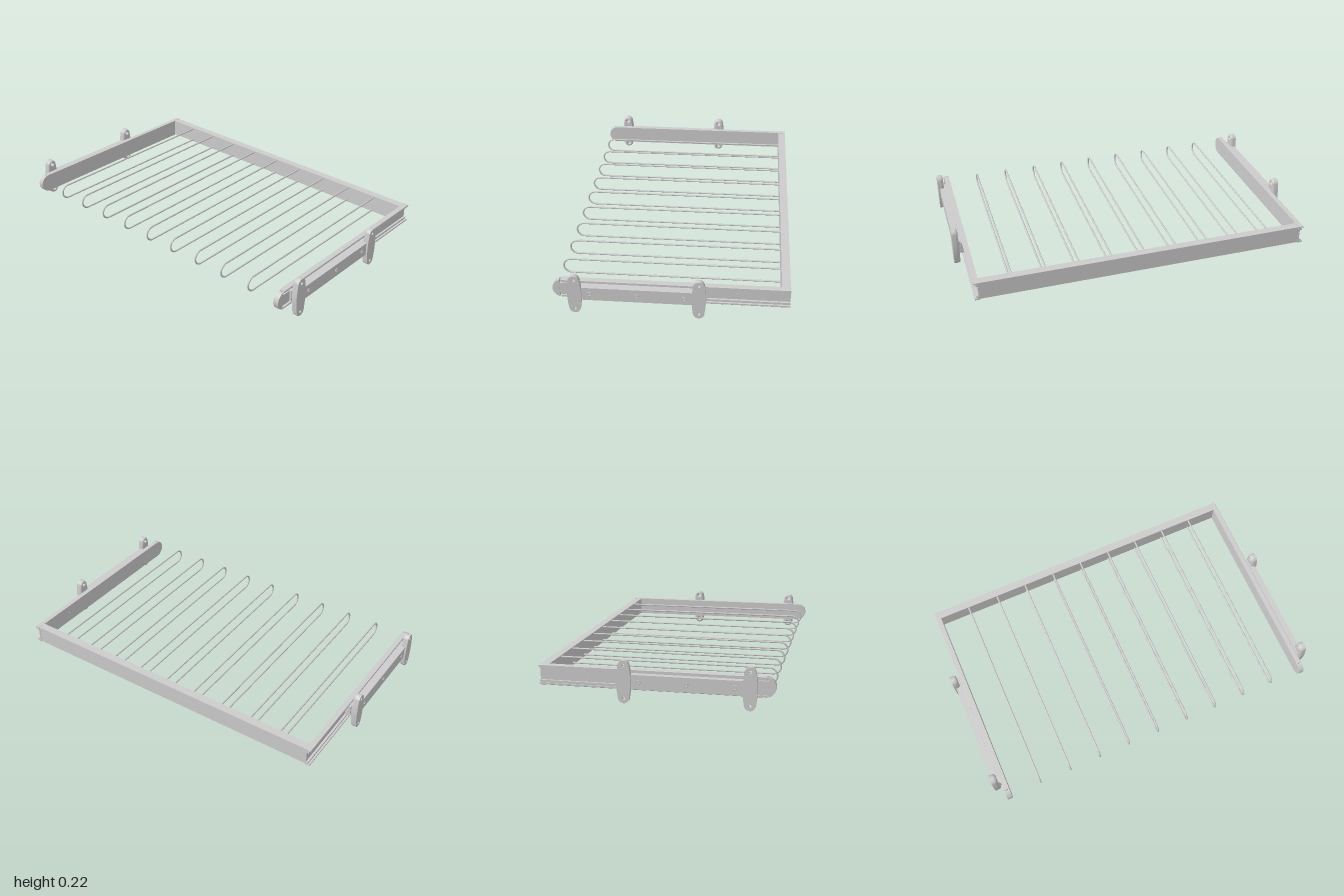
import * as THREE from 'three';
import { mergeGeometries } from 'three/addons/utils/BufferGeometryUtils.js';

const grey = new THREE.MeshStandardMaterial({ color: 0xcccccc });
const MID = 0.112; // height of the centre line of the rails

function add(parent, name, geometry) {
  const mesh = new THREE.Mesh(geometry, grey);
  mesh.name = name;
  parent.add(mesh);
  return mesh;
}

// Box given by its lower and upper corners
function block(x0, x1, y0, y1, z0, z1) {
  return new THREE.BoxGeometry(x1 - x0, y1 - y0, z1 - z0)
    .translate((x0 + x1) / 2, (y0 + y1) / 2, (z0 + z1) / 2);
}

// Extrude a side outline, drawn with (-z, y), along x
function sidePlate(shape, x0, x1) {
  return new THREE.ExtrudeGeometry(shape, { depth: x1 - x0, bevelEnabled: false, curveSegments: 24 })
    .rotateY(Math.PI / 2).translate(x0, 0, 0);
}

// Short cylinder lying along x
function disc(r, x0, x1, z) {
  return new THREE.CylinderGeometry(r, r, x1 - x0, 20).rotateZ(Math.PI / 2).translate((x0 + x1) / 2, 0, z);
}

// Wall bracket: waisted plate, flat on the wall side, rounded towards the rail
function bracketGeometry() {
  const s = new THREE.Shape();
  s.moveTo(0.037, 0);
  s.quadraticCurveTo(0.036, 0.04, 0.03, 0.082);
  s.absarc(0, 0.082, 0.029, 0, Math.PI, false);
  s.quadraticCurveTo(-0.036, 0.04, -0.037, 0);
  s.quadraticCurveTo(-0.036, -0.04, -0.03, -0.082);
  s.absarc(0, -0.082, 0.029, Math.PI, Math.PI * 2, false);
  s.quadraticCurveTo(0.036, -0.04, 0.037, 0);
  for (const y of [-0.086, 0.086]) {
    s.holes.push(new THREE.Path().absarc(0, y, 0.008, 0, Math.PI * 2, true));
  }
  const depth = 0.017;
  const g = new THREE.ExtrudeGeometry(s, {
    depth, bevelThickness: 0.018, bevelSize: 0.009, bevelOffset: -0.009, bevelSegments: 5, curveSegments: 14,
  });
  // Flatten the bevel on the wall side
  const p = g.attributes.position;
  for (let i = 0; i < p.count; i++) p.setZ(i, Math.min(p.getZ(i), depth));
  g.computeVertexNormals();
  return g.rotateY(Math.PI / 2).translate(1 - depth, 0, 0);
}

// Side rail with slide and brackets, built at +x around y = 0
function sideRail() {
  const rail = new THREE.Group();
  const r = 0.053, noseZ = 0.56;

  // Inner web with a round front end
  const web = new THREE.Shape();
  web.moveTo(0.612, -r);
  web.lineTo(0.612, r);
  web.lineTo(-noseZ, r);
  web.absarc(-noseZ, 0, r, Math.PI / 2, Math.PI * 1.5, false);
  add(rail, 'railWeb', sidePlate(web, 0.92, 0.928));

  // Flanges with turned-in lips and the slide tracks behind them
  for (const s of [-1, 1]) {
    const flange = new THREE.Shape([
      [0.926, 0.053], [0.948, 0.053], [0.95, 0.051], [0.95, 0.043], [0.945, 0.043],
      [0.945, 0.047], [0.934, 0.047], [0.934, 0.041], [0.94, 0.041], [0.94, 0.031], [0.926, 0.031],
    ].map(([x, y]) => new THREE.Vector2(x, s * y)));
    add(rail, 'railFlange', new THREE.ExtrudeGeometry(flange, { depth: 1.18, bevelEnabled: false })
      .translate(0, 0, -0.612));
  }

  // Solid round nose
  const nose = new THREE.Shape();
  nose.absarc(-noseZ, 0, r, Math.PI - 1.28, Math.PI + 1.28, false);
  add(rail, 'railNose', sidePlate(nose, 0.925, 0.95));

  // Sliding member and fixed wall member
  add(rail, 'slideMember', block(0.926, 0.946, -0.03, 0.03, -0.18, 0.583));
  add(rail, 'wallMemberNeck', block(0.94, 0.958, -0.032, 0.032, -0.18, 0.515));
  add(rail, 'wallMember', block(0.955, 0.99, -0.037, 0.037, -0.17, 0.51));

  for (const z of [0.49, -0.148]) {
    add(rail, 'wallBracket', bracketGeometry().translate(0, 0, z));
  }

  // Screws on the wall member
  for (const z of [0.413, 0.17, -0.073]) {
    add(rail, 'screwRing', new THREE.TorusGeometry(0.01, 0.0025, 8, 24)
      .rotateY(Math.PI / 2).translate(0.99, 0, z));
    add(rail, 'screwHead', disc(0.005, 0.985, 0.992, z));
  }
  // Rivets through the web
  for (const z of [0.45, -0.35]) add(rail, 'rivet', disc(0.007, 0.9185, 0.9295, z));
  return rail;
}

// Upright hairpin wire reaching from the back bar to the front
function hairpin() {
  const half = 0.041, t = 0.005, z0 = -0.57, z1 = 0.555;
  const leg = (y) => new THREE.CylinderGeometry(t, t, z1 - z0, 10, 1, true)
    .rotateX(Math.PI / 2).translate(0, y, (z0 + z1) / 2);
  const bend = new THREE.TorusGeometry(half, t, 10, 20, Math.PI)
    .rotateZ(-Math.PI / 2).rotateY(-Math.PI / 2).translate(0, 0, z1);
  return mergeGeometries([leg(half), leg(-half), bend]);
}

export function createModel() {
  const model = new THREE.Group();
  model.name = 'pullOutHangingRack';

  // The rail is symmetric in height, so half a turn about z makes the other side
  for (const [name, turn] of [['leftRail', 0], ['rightRail', Math.PI]]) {
    const rail = sideRail();
    rail.name = name;
    rail.position.y = MID;
    rail.rotation.z = turn;
    model.add(rail);
  }

  // Back bar
  add(model, 'backBar', block(-0.922, 0.922, 0.062, 0.164, -0.61, -0.565));

  // Hanging wires
  const wire = hairpin();
  for (let i = -4; i <= 4; i++) {
    add(model, 'hangingWire', wire).position.set(i * 0.1855, MID + 0.003, 0);
  }
  return model;
}
